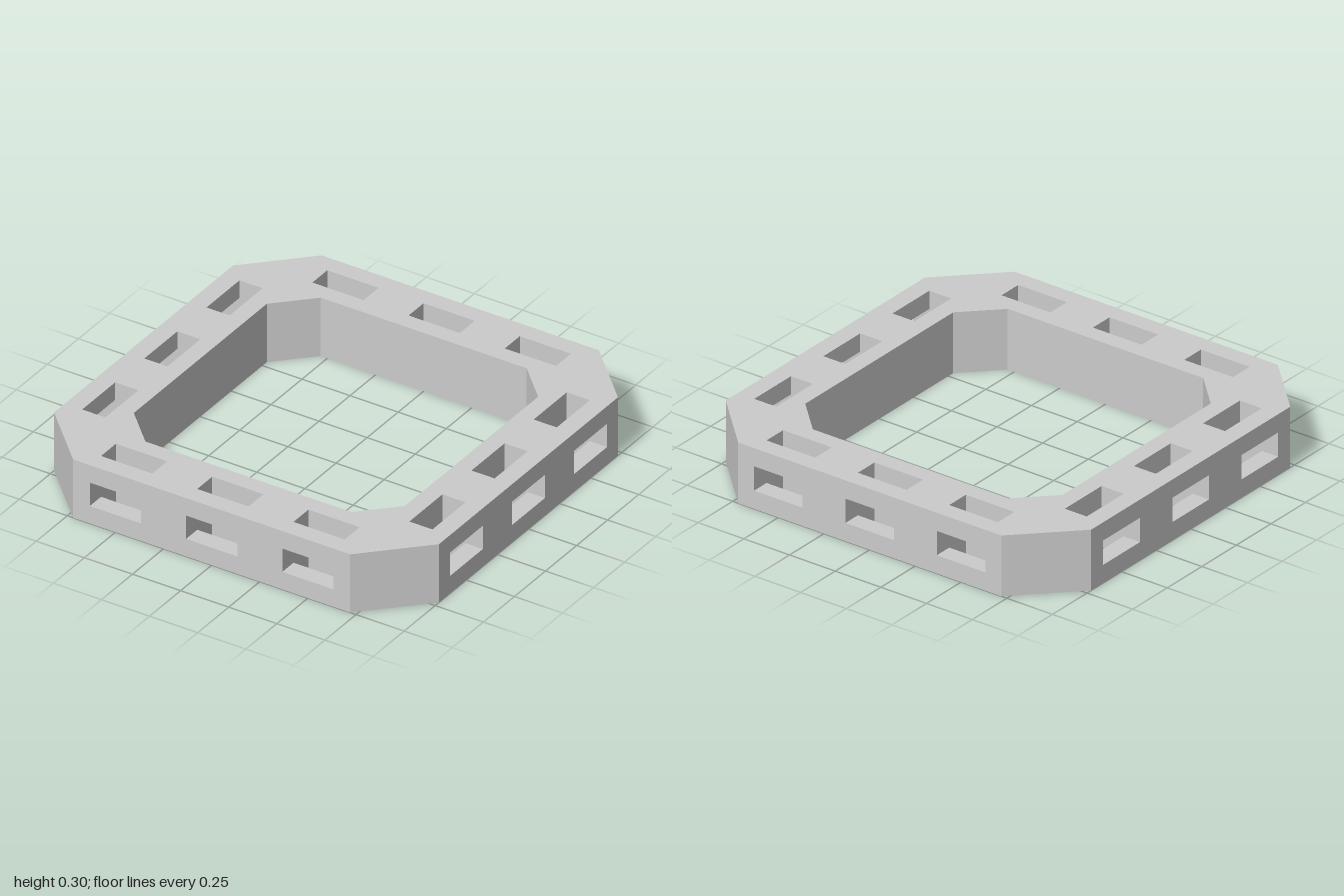
import * as THREE from 'three';

const H = 0.3;                       // ring height
const OUT = 1, OUT_C = 0.72;         // outer half width and where its chamfer starts
const INN = 0.705, INN_C = 0.535;    // same for the opening
const Z0 = 0.79, Z1 = 0.91;          // vertical slot, across the bar
const Y0 = 0.09, Y1 = 0.21;          // side slot, up the bar
const HALF = 0.133, CENTRES = [-0.5, 0, 0.5];

const rect = (x0, y0, x1, y1) =>
  [[x0, y0], [x1, y0], [x1, y1], [x0, y1]].map(p => new THREE.Vector2(...p));

const octagon = (r, c) =>
  [[c, -r], [r, -c], [r, c], [c, r], [-c, r], [-r, c], [-r, -c], [-c, -r]].map(p => new THREE.Vector2(...p));

// Collects four-cornered faces into one flat-shaded geometry
function faceSet() {
  const pos = [];
  const quad = (a, b, c, d) => pos.push(...a, ...b, ...c, ...a, ...c, ...d);
  const wall = (xa, za, xb, zb, ya = 0, yb = H) =>
    quad([xa, ya, za], [xb, ya, zb], [xb, yb, zb], [xa, yb, za]);
  const build = () => {
    const g = new THREE.BufferGeometry();
    g.setAttribute('position', new THREE.Float32BufferAttribute(pos, 3));
    g.computeVertexNormals();
    return g;
  };
  return { quad, wall, build };
}

// Octagonal ring face with three slots along each bar
function ringFace() {
  const shape = new THREE.Shape(octagon(OUT, OUT_C));
  shape.holes.push(new THREE.Path(octagon(INN, INN_C)));
  for (const c of CENTRES) for (const s of [-1, 1]) {
    const a = Math.min(s * Z0, s * Z1), b = Math.max(s * Z0, s * Z1);
    shape.holes.push(new THREE.Path(rect(c - HALF, a, c + HALF, b)));
    shape.holes.push(new THREE.Path(rect(a, c - HALF, b, c + HALF)));
  }
  return new THREE.ShapeGeometry(shape);
}

// Outer side panel with three slot openings
function sidePanel() {
  const shape = new THREE.Shape(rect(-OUT_C, 0, OUT_C, H));
  for (const c of CENTRES) shape.holes.push(new THREE.Path(rect(c - HALF, Y0, c + HALF, Y1)));
  return new THREE.ShapeGeometry(shape).translate(0, 0, OUT);
}

// Chamfered corner and inner walls of one bar
function plainWalls() {
  const f = faceSet();
  f.wall(OUT_C, OUT, OUT, OUT_C);
  f.wall(INN_C, INN, -INN_C, INN);
  f.wall(INN, INN_C, INN_C, INN);
  return f.build();
}

// Vertical through slot joined by a side slot that stops at its back wall
function slotLining(c) {
  const f = faceSet(), a = c - HALF, b = c + HALF;
  f.wall(a, Z0, b, Z0);
  f.wall(b, Z1, a, Z1, 0, Y0);
  f.wall(b, Z1, a, Z1, Y1, H);
  f.wall(a, Z1, a, Z0);
  f.wall(b, Z0, b, Z1);
  f.wall(a, OUT, a, Z1, Y0, Y1);
  f.wall(b, Z1, b, OUT, Y0, Y1);
  f.quad([a, Y0, OUT], [b, Y0, OUT], [b, Y0, Z1], [a, Y0, Z1]);
  f.quad([a, Y1, Z1], [b, Y1, Z1], [b, Y1, OUT], [a, Y1, OUT]);
  return f.build();
}

export function createModel() {
  const model = new THREE.Group();
  model.name = 'slottedRing';
  const material = new THREE.MeshStandardMaterial({ color: 0xcccccc, flatShading: true });
  const add = (parent, name, geometry) => {
    const mesh = new THREE.Mesh(geometry, material);
    mesh.name = name;
    parent.add(mesh);
  };

  add(model, 'topFace', ringFace().rotateX(-Math.PI / 2).translate(0, H, 0));
  add(model, 'bottomFace', ringFace().rotateX(Math.PI / 2));

  // Four identical bars
  const panel = sidePanel(), walls = plainWalls(), slots = CENTRES.map(slotLining);
  ['front', 'left', 'back', 'right'].forEach((side, i) => {
    const bar = new THREE.Group();
    bar.name = side + 'Bar';
    bar.rotation.y = i * Math.PI / 2;
    add(bar, 'outerPanel', panel);
    add(bar, 'cornerAndInnerWalls', walls);
    slots.forEach(s => add(bar, 'slot', s));
    model.add(bar);
  });
  return model;
}
